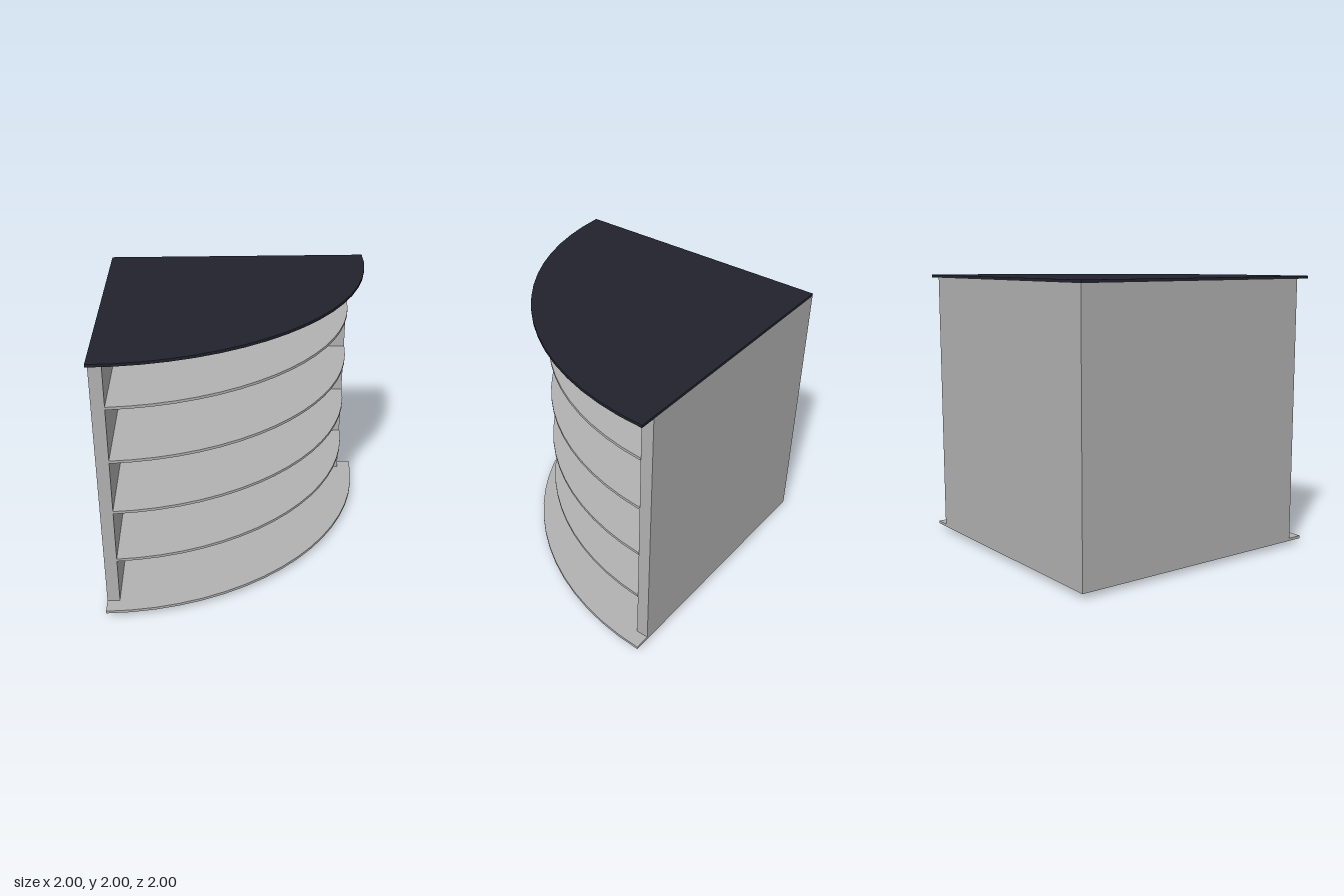
import * as THREE from 'three';

export function createModel() {
  const model = new THREE.Group();
  const grey = new THREE.MeshStandardMaterial({ color: 0xb2b2b2 });
  grey.name = 'grey board';
  const dark = new THREE.MeshStandardMaterial({ color: 0x22222d });
  dark.name = 'dark navy';

  const add = (name, geometry, material, x, y, z) => {
    const mesh = new THREE.Mesh(geometry, material);
    mesh.name = name;
    mesh.position.set(x, y, z);
    model.add(mesh);
  };

  // Quarter-round board about the back corner, its straight edges starting at inset
  const quarterBoard = (name, radius, inset, bottom, thickness, material) => {
    const start = Math.asin(inset / radius);
    const steps = 18;
    const shape = new THREE.Shape();
    shape.moveTo(inset, -inset);
    for (let i = 0; i <= steps; i++) {
      const a = -Math.PI / 2 + start + (Math.PI / 2 - 2 * start) * (i / steps);
      shape.lineTo(radius * Math.cos(a), radius * Math.sin(a));
    }
    shape.closePath();
    const geometry = new THREE.ExtrudeGeometry(shape, { depth: thickness, bevelEnabled: false });
    geometry.rotateX(-Math.PI / 2);
    add(name, geometry, material, -1, bottom, -1);
  };

  // Top and base
  quarterBoard('topBoard', 2, 0, 1.98, 0.02, dark);
  quarterBoard('baseBoard', 2, 0, 0.035, 0.02, grey);

  // Two wall panels meeting at the back corner
  const wall = 0.09, length = 1.885, bottom = 0.055, height = 1.925;
  const midY = bottom + height / 2;
  add('sidePanel', new THREE.BoxGeometry(wall, height, length), grey,
    -1 + wall / 2, midY, -1 + length / 2);
  add('backPanel', new THREE.BoxGeometry(length - wall, height, wall), grey,
    -1 + (length + wall) / 2, midY, -1 + wall / 2);

  // Four evenly spaced shelves between the panels
  for (let i = 0; i < 4; i++) {
    quarterBoard(`shelf${i + 1}`, 1.89, wall, 0.41 + i * 0.404, 0.02, grey);
  }

  // Three round feet
  [[-0.8, -0.8], [0.75, -0.8], [-0.8, 0.76]].forEach(([x, z], i) => {
    add(`foot${i + 1}`, new THREE.CylinderGeometry(0.11, 0.11, 0.035, 24), dark, x, 0.0175, z);
  });

  return model;
}
